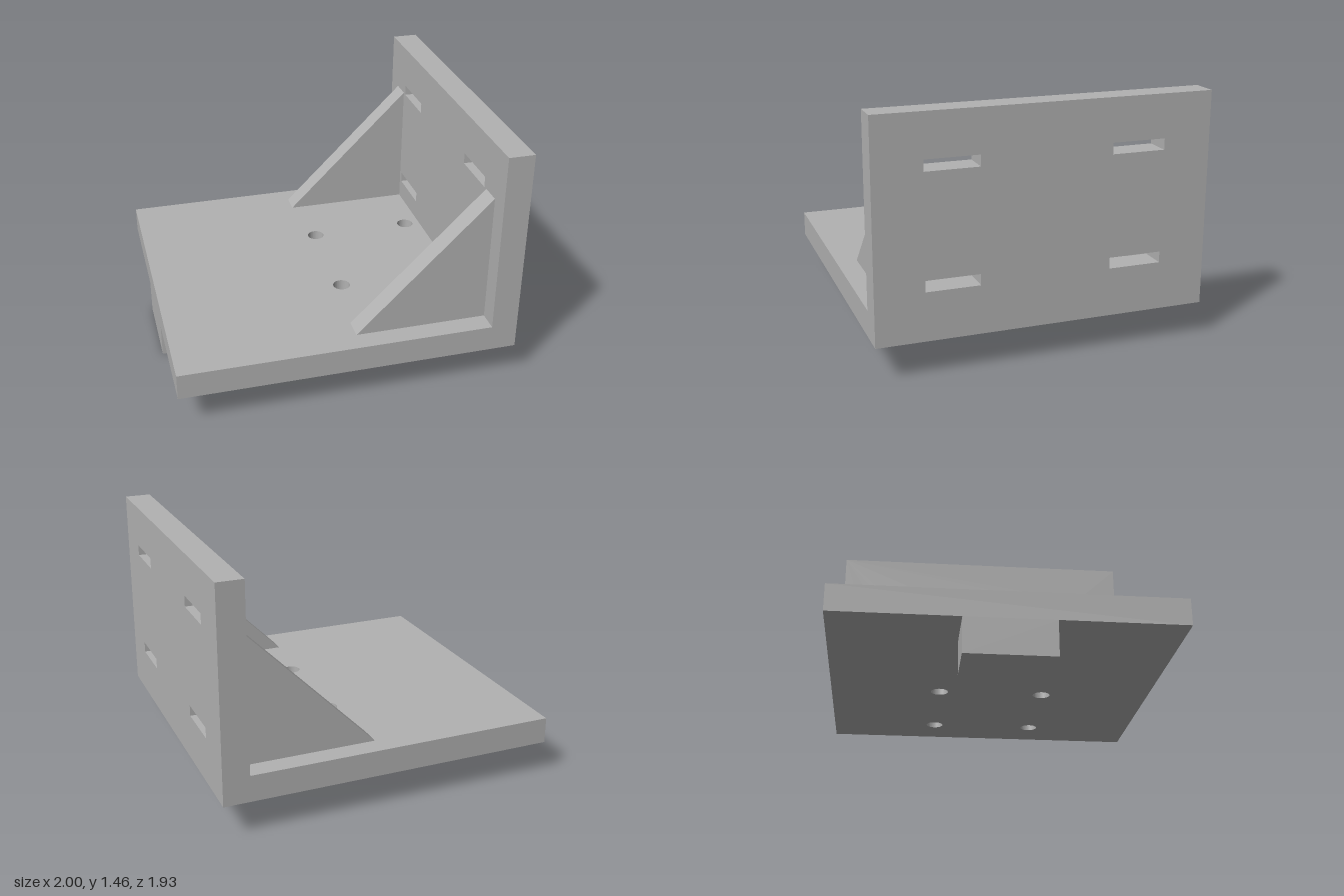
import * as THREE from 'three';

const DEPTH = 0.966;                        // half depth along z
const FLOOR = 0.206, DECK = 0.362, TOP = 1.457;
const WALL = 0.845;                         // inner face of the upright plate

function rect(Type, x0, y0, x1, y1) {
  const p = new Type();
  p.moveTo(x0, y0);
  p.lineTo(x1, y0);
  p.lineTo(x1, y1);
  p.lineTo(x0, y1);
  p.closePath();
  return p;
}

const extrude = (shape, depth) =>
  new THREE.ExtrudeGeometry(shape, { depth, bevelEnabled: false, curveSegments: 32 });

export function createModel() {
  const group = new THREE.Group();
  const grey = new THREE.MeshStandardMaterial({ color: 0xb2b2b2 });
  grey.name = 'light grey';

  const add = (name, geometry) => {
    const mesh = new THREE.Mesh(geometry, grey);
    mesh.name = name;
    group.add(mesh);
    return mesh;
  };

  // Base plate with four round bolt holes
  const base = rect(THREE.Shape, -1, -DEPTH, WALL, DEPTH);
  for (const x of [0.122, 0.748]) {
    for (const z of [-0.313, 0.313]) {
      base.holes.push(new THREE.Path().absarc(x, z, 0.052, 0, Math.PI * 2, true));
    }
  }
  add('basePlate', extrude(base, DECK - FLOOR).rotateX(-Math.PI / 2).translate(0, FLOOR, 0));

  // Upright plate with four slots
  const wall = rect(THREE.Shape, -DEPTH, FLOOR, DEPTH, TOP);
  for (const z of [-0.533, 0.533]) {
    for (const y of [0.518, 1.174]) {
      wall.holes.push(rect(THREE.Path, z - 0.155, y - 0.032, z + 0.155, y + 0.032));
    }
  }
  add('uprightPlate', extrude(wall, 1 - WALL).rotateY(Math.PI / 2).translate(WALL, 0, 0));

  // Triangular gussets bracing the upright
  const triangle = new THREE.Shape([
    new THREE.Vector2(0.06, DECK),
    new THREE.Vector2(WALL, DECK),
    new THREE.Vector2(WALL, 1.145),
  ]);
  for (const [name, z] of [['frontGusset', 0.78], ['backGusset', -0.78]]) {
    add(name, extrude(triangle, 0.124).translate(0, 0, z - 0.062));
  }

  // Block under the free end
  add('supportBlock', new THREE.BoxGeometry(0.312, FLOOR, 0.504).translate(-0.844, FLOOR / 2, 0));

  return group;
}
